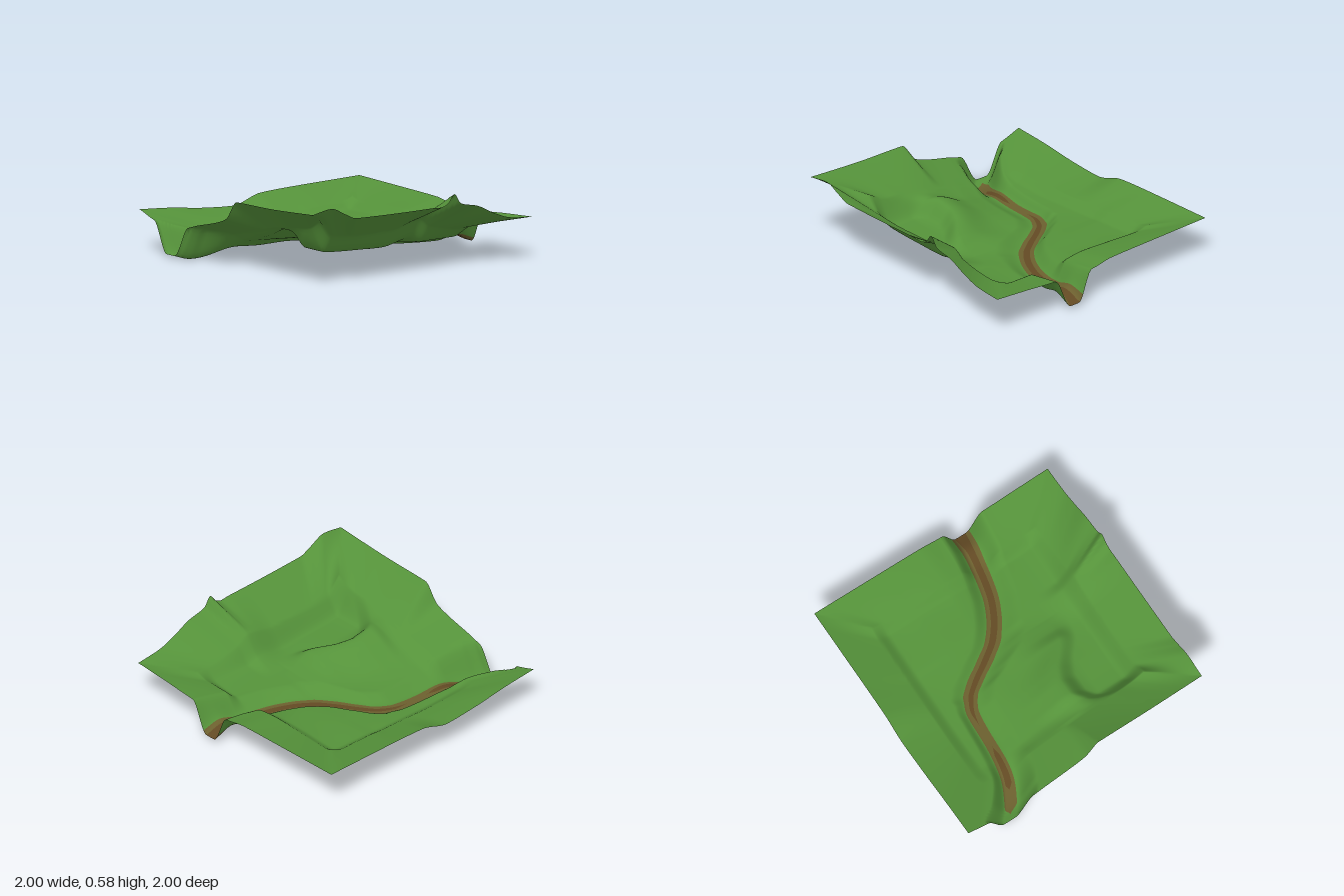
import * as THREE from 'three';

// Smooth monotone curve through [position, value] points
function sample(pts, x) {
  const n = pts.length;
  x = Math.min(Math.max(x, pts[0][0]), pts[n - 1][0]);
  let i = 0;
  while (i < n - 2 && x > pts[i + 1][0]) i++;
  const slope = k => (k < 0 || k > n - 2) ? null : (pts[k + 1][1] - pts[k][1]) / (pts[k + 1][0] - pts[k][0]);
  const tangent = k => {
    const a = slope(k - 1), b = slope(k);
    if (a === null) return b;
    if (b === null) return a;
    return a * b <= 0 ? 0 : 2 * a * b / (a + b);
  };
  const h = pts[i + 1][0] - pts[i][0], t = (x - pts[i][0]) / h, t2 = t * t, t3 = t2 * t;
  return (2 * t3 - 3 * t2 + 1) * pts[i][1] + (t3 - 2 * t2 + t) * h * tangent(i)
    + (3 * t2 - 2 * t3) * pts[i + 1][1] + (t3 - t2) * h * tangent(i + 1);
}

// Heights along the four outer edges
const frontEdge = [[-1, .56], [-.83, .585], [-.7, .53], [-.6, .49], [0, .48], [.1, .48], [.18, .475],
  [.24, .5], [.29, .56], [.35, .485], [.5, .45], [.65, .38], [.8, .33], [1, .31]];
const backEdge = [[-1, .3], [-.74, .28], [-.4, .24], [-.15, .225], [.1, .29], [.34, .3], [1, .31]];
const leftEdge = [[-1, .3], [-.8, .24], [-.6, .22], [-.3, .29], [-.12, .335], [0, .38], [.12, .52], [.5, .53], [1, .56]];
const rightEdge = [[-1, .31], [-.5, .3], [-.1, .29], [.1, .26], [.45, .27], [.7, .29], [1, .31]];

// Heights of the inner basin, one row per z
const basinX = [-.7, -.58, -.3, -.05, .2, .3, .6, .7];
const basin = [
  [-.7, [.18, .17, .17, .18, .19, .20, .21, .24]],
  [-.61, [.16, .13, .12, .13, .14, .15, .16, .22]],
  [-.35, [.18, .12, .11, .12, .14, .15, .17, .23]],
  [-.1, [.24, .18, .14, .12, .13, .14, .17, .24]],
  [.2, [.31, .23, .18, .15, .12, .12, .13, .21]],
  [.4, [.33, .18, .16, .14, .13, .13, .13, .21]],
  [.59, [.37, .18, .16, .15, .19, .15, .15, .21]],
  [.7, [.43, .31, .29, .29, .34, .28, .23, .24]],
].map(([z, row]) => [z, row.map((h, i) => [basinX[i], h])]);

// Curved scarp: its line in z and its rise, along x
const scarpLine = [[-.7, .42], [-.6, .26], [-.5, .19], [-.4, .19], [-.3, .23], [-.1, .37], [.1, .4]];
const scarpRise = [[-.72, 0], [-.6, .06], [-.5, .09], [-.25, .08], [-.1, .07], [0, .02], [.1, 0]];

// River course, bed level and back bank width along x
const course = [[-1, -.65], [-.9, -.57], [-.7, -.48], [-.5, -.45], [-.2, -.425], [-.08, -.37], [0, -.28],
  [.1, -.13], [.2, 0], [.35, .11], [.5, .175], [.7, .22], [.85, .24], [1, .25]];
const bed = [[-1, .02], [-.92, 0], [-.6, .07], [-.4, .06], [0, .07], [.7, .06], [.85, .09], [1, .03]];
const backBank = [[-1, .17], [-.7, .12], [-.3, .11], [.4, .15], [1, .16]];
const river = x => sample(course, x);
const stretch = x => Math.hypot(1, (river(x + .02) - river(x - .02)) / .04);

function basinHeight(x, z) {
  const d = z - sample(scarpLine, x);
  const crest = d < 0 ? Math.exp(-d * d / .04) : 1 - THREE.MathUtils.smoothstep(d, 0, .14);
  return sample(basin.map(([rz, row]) => [rz, sample(row, x)]), z) + sample(scarpRise, x) * crest;
}

// Basin inside, straight slopes out to the edges
function landHeight(x, z) {
  const m = Math.max(Math.abs(x), Math.abs(z));
  if (m <= .7) return basinHeight(x, z);
  const ex = x / m, ez = z / m;
  const edge = Math.abs(z) >= Math.abs(x)
    ? sample(z > 0 ? frontEdge : backEdge, ex)
    : sample(x > 0 ? rightEdge : leftEdge, ez);
  return THREE.MathUtils.lerp(basinHeight(ex * .7, ez * .7), edge, (m - .7) / .3);
}

// Land with the river channel cut into it
function height(x, z) {
  const d = (z - river(x)) / stretch(x);
  const t = d < 0
    ? THREE.MathUtils.smoothstep(-d, .035, sample(backBank, x))
    : THREE.MathUtils.smoothstep(d, .045, .19);
  return THREE.MathUtils.lerp(sample(bed, x), landHeight(x, z), t);
}

// Strip of ground between two lines z = from(x) and z = to(x)
function strip(name, material, from, to, rows, cols = 130) {
  const position = [], normal = [], index = [], e = .006, n = new THREE.Vector3();
  for (let i = 0; i <= cols; i++) {
    const x = -1 + 2 * i / cols, z0 = from(x), z1 = to(x);
    for (let j = 0; j <= rows; j++) {
      const z = z0 + (z1 - z0) * j / rows;
      position.push(x, height(x, z), z);
      n.set(height(x - e, z) - height(x + e, z), 2 * e, height(x, z - e) - height(x, z + e)).normalize();
      normal.push(n.x, n.y, n.z);
      if (i < cols && j < rows) {
        const a = i * (rows + 1) + j, c = a + rows + 1;
        index.push(a, a + 1, c, c, a + 1, c + 1);
      }
    }
  }
  const g = new THREE.BufferGeometry();
  g.setAttribute('position', new THREE.Float32BufferAttribute(position, 3));
  g.setAttribute('normal', new THREE.Float32BufferAttribute(normal, 3));
  g.setIndex(index);
  const mesh = new THREE.Mesh(g, material);
  mesh.name = name;
  return mesh;
}

export function createModel() {
  const mat = (name, color) => new THREE.MeshStandardMaterial({ name, color, side: THREE.DoubleSide });
  const grass = mat('grass', 0x55923a), mud = mat('mud', 0x6b5f2e), wetMud = mat('wetMud', 0x634a24);

  // Half widths of the muddy bed and its darker middle, measured across the river
  const outer = x => sample([[-.95, 0], [-.9, .045], [-.7, .048], [-.4, .04], [0, .052], [.7, .06], [1, .075]], x) * stretch(x);
  const middle = x => sample([[-.8, 0], [-.76, .024], [-.55, .018], [-.47, 0], [-.3, 0], [-.15, .015], [.3, .024], [.8, .025], [1, .045]], x) * stretch(x);
  const line = (width, side) => x => river(x) + side * width(x);

  const model = new THREE.Group();
  model.name = 'riverValley';
  model.add(
    strip('backLand', grass, () => -1, line(outer, -1), 60),
    strip('backShore', mud, line(outer, -1), line(middle, -1), 4),
    strip('riverBed', wetMud, line(middle, -1), line(middle, 1), 4),
    strip('frontShore', mud, line(middle, 1), line(outer, 1), 4),
    strip('frontLand', grass, line(outer, 1), () => 1, 80),
  );
  return model;
}
